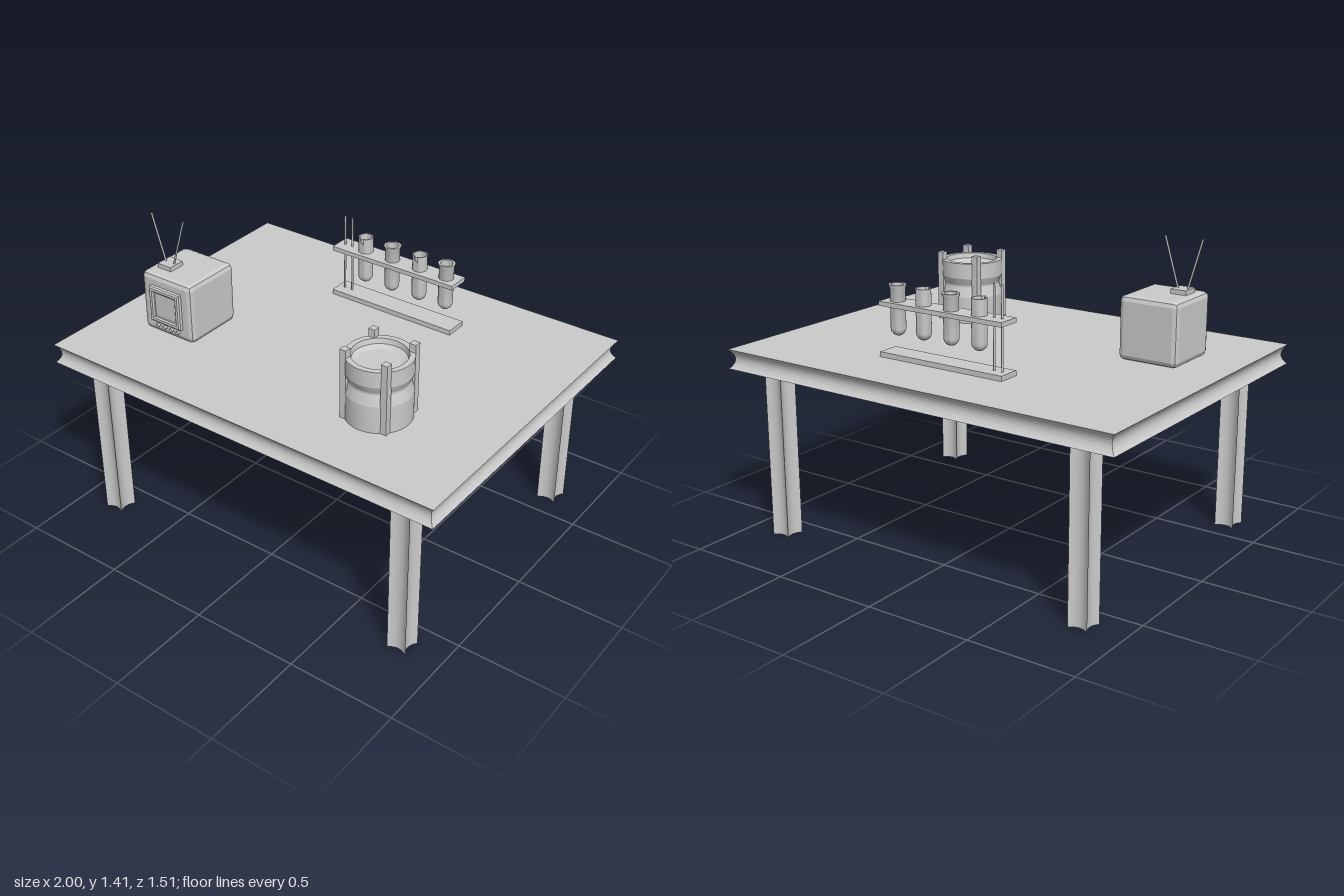
import * as THREE from 'three';
import { toCreasedNormals } from 'three/addons/utils/BufferGeometryUtils.js';
import { RoundedBoxGeometry } from 'three/addons/geometries/RoundedBoxGeometry.js';

const material = new THREE.MeshStandardMaterial({ color: 0xcccccc });
const flat = new THREE.MeshStandardMaterial({ color: 0xcccccc, flatShading: true });
const TOP = 0.877;

function add(parent, name, geometry, x = 0, y = 0, z = 0, mat = material) {
  const mesh = new THREE.Mesh(geometry, mat);
  mesh.name = name;
  mesh.position.set(x, y, z);
  parent.add(mesh);
  return mesh;
}

function group(parent, name) {
  const g = new THREE.Group();
  g.name = name;
  parent.add(g);
  return g;
}

const box = (w, h, d) => new THREE.BoxGeometry(w, h, d);

function lathe(points, segments = 32) {
  return new THREE.LatheGeometry(points.map(([r, y]) => new THREE.Vector2(r, y)), segments);
}

// Thin round rod between two points
function rod(parent, name, from, to, radius) {
  const a = new THREE.Vector3(...from), b = new THREE.Vector3(...to);
  const dir = b.clone().sub(a);
  const mesh = add(parent, name, new THREE.CylinderGeometry(radius, radius, dir.length(), 10));
  mesh.position.copy(a).add(b).multiplyScalar(0.5);
  mesh.quaternion.setFromUnitVectors(new THREE.Vector3(0, 1, 0), dir.normalize());
}

function buildTable(parent) {
  const table = group(parent, 'table');

  // Slab whose edge is hollowed in an arc all round
  const h = 0.09;
  const slab = new THREE.BoxGeometry(2, h, 1.514, 1, 8, 1);
  const p = slab.attributes.position;
  for (let i = 0; i < p.count; i++) {
    const t = p.getY(i) / (h / 2);
    const inset = 0.022 * (1 - t * t);
    p.setX(i, p.getX(i) - Math.sign(p.getX(i)) * inset);
    p.setZ(i, p.getZ(i) - Math.sign(p.getZ(i)) * inset);
  }
  add(table, 'tableTop', slab, 0, TOP - h / 2, 0, flat);

  // Square legs with four hollowed sides
  const s = 0.046, c = 0.008;
  const shape = new THREE.Shape();
  shape.moveTo(-s, -s);
  shape.quadraticCurveTo(0, -c, s, -s);
  shape.quadraticCurveTo(c, 0, s, s);
  shape.quadraticCurveTo(0, c, -s, s);
  shape.quadraticCurveTo(-c, 0, -s, -s);
  const leg = toCreasedNormals(
    new THREE.ExtrudeGeometry(shape, { depth: TOP - h, bevelEnabled: false, curveSegments: 6 }).rotateX(-Math.PI / 2), 0.6);
  for (const x of [-1, 1]) for (const z of [-1, 1]) add(table, 'leg', leg, x * 0.806, 0, z * 0.636);
}

function buildTelevision(parent) {
  const tv = group(parent, 'television');
  const x = -0.641;
  add(tv, 'cabinet', new RoundedBoxGeometry(0.285, 0.287, 0.295, 1, 0.024), x, TOP + 0.1435, 0.2475, flat);

  // Raised frame with a bevelled front and a recessed screen
  const frame = new THREE.Shape();
  const r = 0.08;
  frame.moveTo(-r, -r).lineTo(r, -r).lineTo(r, r).lineTo(-r, r).closePath();
  const hole = new THREE.Path();
  const q = 0.068;
  hole.moveTo(-q, -q).lineTo(-q, q).lineTo(q, q).lineTo(q, -q).closePath();
  frame.holes.push(hole);
  add(tv, 'screenFrame', new THREE.ExtrudeGeometry(frame, {
    depth: 0.019, bevelThickness: 0.006, bevelSize: 0.007, bevelSegments: 1,
  }), x, 1.025, 0.391, flat);
  add(tv, 'screen', box(0.14, 0.14, 0.01), x, 1.025, 0.398);

  // Row of control knobs
  const knob = new THREE.CylinderGeometry(0.009, 0.009, 0.016, 12).rotateX(Math.PI / 2);
  for (let i = 0; i < 4; i++) add(tv, 'knob', knob, x - 0.057 + i * 0.039, 0.915, 0.399);

  add(tv, 'antennaBase', box(0.075, 0.022, 0.08), -0.703, 1.174, 0.29);
  rod(tv, 'antennaRod', [-0.727, 1.18, 0.29], [-0.788, 1.405, 0.297], 0.0045);
  rod(tv, 'antennaRod', [-0.681, 1.18, 0.29], [-0.611, 1.405, 0.29], 0.0045);
}

function buildBarrel(parent) {
  const barrel = group(parent, 'barrel');
  barrel.position.set(0.47, TOP, 0.35);

  // Drum with a pinched waist and a dished lid
  const profile = [
    [0, 0], [0.145, 0], [0.145, 0.125], [0.13, 0.172], [0.13, 0.18], [0.145, 0.215],
    [0.145, 0.288], [0.12, 0.288], [0.115, 0.265], [0.09, 0.255], [0, 0.255],
  ];
  add(barrel, 'drum', toCreasedNormals(lathe(profile, 40), 0.3));

  // Corner posts
  for (const x of [-1, 1]) for (const z of [-1, 1]) {
    add(barrel, 'post', box(0.031, 0.325, 0.031), x * 0.1, 0.1625, z * 0.1);
  }
}

// Hollow round-bottomed tube, with either a flared rim or a pouring lip
function tubeGeometry(lipped) {
  const R = 0.034, H = 0.228, points = [];
  for (let i = 0; i <= 6; i++) {
    const a = (i / 6) * Math.PI / 2;
    points.push([R * Math.sin(a), R - R * Math.cos(a)]);
  }
  if (lipped) points.push([R, H - 0.03], [R, H], [R - 0.005, H], [R - 0.005, H - 0.03]);
  else points.push([R, H - 0.016], [0.039, H - 0.007], [0.039, H], [R - 0.006, H], [R - 0.006, H - 0.012]);
  points.push([R - 0.006, R], [0.016, 0.012], [0, 0.008]);
  const g = lathe(points, 24);
  if (lipped) {
    const p = g.attributes.position;
    for (let i = 0; i < p.count; i++) {
      if (p.getY(i) > H - 0.001 && Math.abs(p.getX(i)) < 0.004 && p.getZ(i) > 0) p.setZ(i, p.getZ(i) + 0.013);
    }
  }
  return toCreasedNormals(g, 0.6);
}

function buildRack(parent) {
  const rack = group(parent, 'testTubeRack');
  const z = -0.404;
  add(rack, 'rackBase', box(0.65, 0.023, 0.106), 0.045, TOP + 0.0115, z);
  add(rack, 'rackShelf', box(0.65, 0.021, 0.106), 0.045, 1.116, z);
  for (const x of [-0.247, -0.206]) rod(rack, 'rackRod', [x, TOP + 0.01, z], [x, 1.27, z], 0.005);
  const lipped = tubeGeometry(true), flared = tubeGeometry(false);
  [-0.13, 0.017, 0.165, 0.306].forEach((x, i) => {
    add(rack, 'testTube', i % 2 ? flared : lipped, x, 0.972, z);
  });
}

export function createModel() {
  const model = new THREE.Group();
  model.name = 'laboratoryTable';
  buildTable(model);
  buildTelevision(model);
  buildBarrel(model);
  buildRack(model);
  return model;
}
